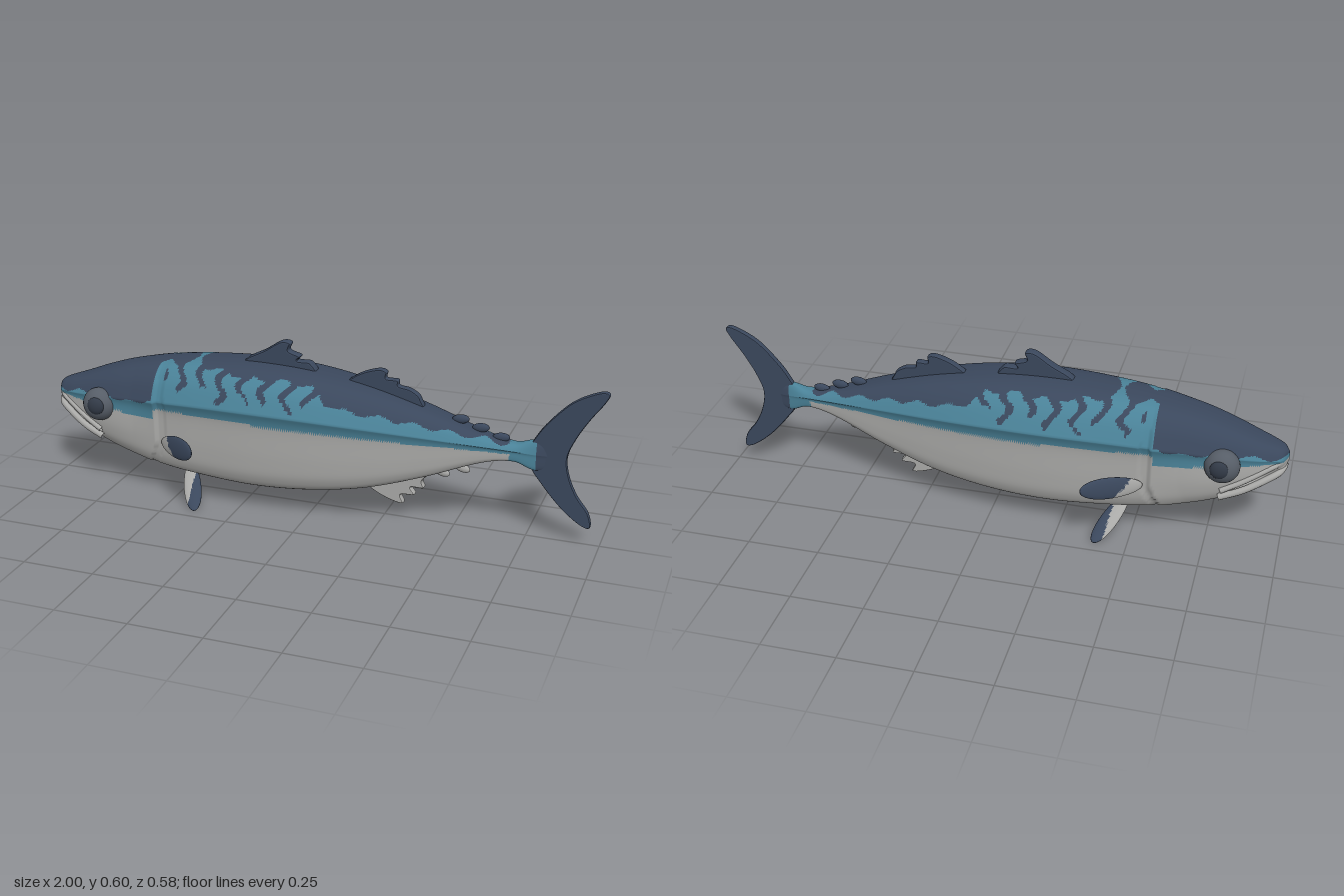
import * as THREE from 'three';

const mat = (name, color) => Object.assign(new THREE.MeshStandardMaterial({ color }), { name });

// Stations along the body: x, back height, belly height, half width, side ridge height
const STATIONS = [
  [-1, 0.345, 0.31, 0.0, 0.33], [-0.985, 0.36, 0.275, 0.042, 0.33], [-0.95, 0.375, 0.24, 0.065, 0.335],
  [-0.9, 0.393, 0.208, 0.085, 0.34], [-0.8, 0.432, 0.165, 0.112, 0.35], [-0.7, 0.463, 0.132, 0.133, 0.36],
  [-0.55, 0.494, 0.1, 0.154, 0.372], [-0.4, 0.511, 0.085, 0.172, 0.382], [-0.2, 0.52, 0.077, 0.185, 0.388],
  [0, 0.51, 0.088, 0.176, 0.384], [0.2, 0.477, 0.12, 0.146, 0.37], [0.4, 0.423, 0.183, 0.102, 0.35],
  [0.6, 0.358, 0.262, 0.056, 0.328], [0.7, 0.34, 0.276, 0.035, 0.318], [0.77, 0.358, 0.25, 0.02, 0.31],
  [0.84, 0.34, 0.27, 0.004, 0.305],
];

// Smooth interpolation of a table column at x
function sample(table, col, x) {
  const n = table.length;
  let k = 0;
  while (k < n - 2 && x > table[k + 1][0]) k++;
  const slope = (i) => {
    const a = table[Math.max(i - 1, 0)], b = table[Math.min(i + 1, n - 1)];
    return (b[col] - a[col]) / (b[0] - a[0]);
  };
  const p = table[k], q = table[k + 1], h = q[0] - p[0];
  const t = THREE.MathUtils.clamp((x - p[0]) / h, 0, 1), t2 = t * t, t3 = t2 * t;
  return (2 * t3 - 3 * t2 + 1) * p[col] + (t3 - 2 * t2 + t) * h * slope(k)
    + (3 * t2 - 2 * t3) * q[col] + (t3 - t2) * h * slope(k + 1);
}

// Sort the triangles of an indexed geometry into material groups by their centre
function paint(geo, count, rule) {
  const p = geo.attributes.position, idx = geo.index.array;
  const lists = Array.from({ length: count }, () => []);
  for (let i = 0; i < idx.length; i += 3) {
    const [a, b, c] = [idx[i], idx[i + 1], idx[i + 2]];
    const mid = (f) => (p[f](a) + p[f](b) + p[f](c)) / 3;
    lists[rule(mid('getX'), mid('getY'), mid('getZ'))].push(a, b, c);
  }
  geo.setIndex(lists.flat());
  geo.clearGroups();
  let start = 0;
  lists.forEach((l, i) => { geo.addGroup(start, l.length, i); start += l.length; });
  return geo;
}

// Half cross-section as fractions: back to side ridge, then ridge to belly
const v2 = (pts) => pts.map(([x, y]) => new THREE.Vector2(x, y));
const UPPER = new THREE.SplineCurve(v2([[0, 0], [0.3, 0.03], [0.55, 0.15], [0.8, 0.48], [1, 1]]));
const LOWER = new THREE.SplineCurve(v2([[1, 0], [0.91, 0.16], [0.88, 0.55], [0.82, 0.8], [0.62, 0.94], [0, 1]]));
const gillX = (y) => -0.55 - 1.6 * Math.max(0, 0.25 - y) ** 1.7 - 0.5 * Math.max(0, y - 0.32) ** 2;
const mouthY = (x) => 0.205 + 0.5 * (-0.79 - x);

function bodyGeometry() {
  const COLS = 260, HALF = 56, RING = HALF * 2, pos = [], idx = [];
  for (let i = 0; i <= COLS; i++) {
    const x = -1 + 1.84 * (i / COLS) ** 1.05;
    const [top, bottom, width, ridge] = [1, 2, 3, 4].map((c) => sample(STATIONS, c, x));
    const headness = THREE.MathUtils.smoothstep(-x, 0.5, 0.75);
    for (let j = 0; j < RING; j++) {
      const side = j <= HALF ? 1 : -1;
      const t = (j <= HALF ? j : RING - j) / HALF;
      const up = t <= 0.5;
      const s = up ? UPPER.getPoint(t * 2) : LOWER.getPoint(t * 2 - 1);
      const y = up ? top + (ridge - top) * s.y : ridge + (bottom - ridge) * s.y;
      let z = s.x * width;
      // Rounder cheeks on the head
      if (!up) z += headness * width * 0.08 * Math.sin(Math.PI * Math.min(1, s.y * 1.1));
      // Raised gill cover that drops off at its rear edge
      const d = gillX(y) - x;
      if (d > 0 && d < 0.1) z *= 1 + 0.05 * (1 - d / 0.1);
      else if (d <= 0 && d > -0.03) z *= 0.97;
      // Mouth groove
      if (x < -0.79) z *= 1 - 0.2 * Math.exp(-(((y - mouthY(x)) / 0.01) ** 2));
      pos.push(x, y, z * side);
    }
  }
  for (let i = 0; i < COLS; i++) for (let j = 0; j < RING; j++) {
    const a = i * RING + j, c = i * RING + (j + 1) % RING, b = a + RING, d = c + RING;
    idx.push(a, c, b, b, c, d);
  }
  const geo = new THREE.BufferGeometry();
  geo.setAttribute('position', new THREE.Float32BufferAttribute(pos, 3));
  geo.setIndex(idx);
  geo.computeVertexNormals();
  return geo;
}

// Upper and lower limits of the teal flank along the body
const FLANK = [
  [-1, 0.335, 0.325], [-0.8, 0.36, 0.315], [-0.58, 0.377, 0.31], [-0.55, 0.485, 0.34], [-0.2, 0.492, 0.342],
  [0.02, 0.482, 0.336], [0.08, 0.438, 0.334], [0.3, 0.402, 0.326], [0.5, 0.368, 0.316], [0.66, 0.34, 0.308],
];
function bodyColour(x, y, z) {
  if (x > 0.775) return 0;
  if (x > 0.69 - Math.abs(y - 0.31) * 0.3) return 1;
  const headEnd = -0.565;
  const fx = x < headEnd ? Math.min(x, -0.58) : Math.max(x, -0.55);
  if (y < sample(FLANK, 2, fx)) return 2;
  if (y > sample(FLANK, 1, fx) + 0.006 * Math.sin(x * 55)) return 0;
  // Wavy dark bars hanging from the back
  if (x > -0.53 && x < 0.07) {
    const foot = 0.425 + 0.025 * Math.sin(x * 47 + (z > 0 ? 0 : 1));
    const bar = Math.sin(x * 78 + 1.3 * Math.sin(y * 75 + x * 9));
    if (y > foot && bar > 0.5) return 0;
  }
  return 1;
}

// Thin bevelled fin standing on the centre plane
function finGeometry(points, depth, bevel, smooth = true) {
  const shape = new THREE.Shape();
  shape.moveTo(...points[0]);
  if (smooth) shape.splineThru(v2(points.slice(1)));
  else points.slice(1).forEach((p) => shape.lineTo(...p));
  const geo = new THREE.ExtrudeGeometry(shape, {
    depth, bevelEnabled: true, bevelThickness: bevel, bevelSize: bevel * 0.6,
    bevelOffset: -bevel * 0.6, bevelSegments: 3, curveSegments: 48,
  });
  return geo.translate(0, 0, -depth / 2);
}

// Paddle fin from root to tip: a flattened ellipsoid, pale near its root
function paddle(root, tip, across, width, thick, pale) {
  const a = new THREE.Vector3(...root), b = new THREE.Vector3(...tip);
  const along = b.clone().sub(a), len = along.length();
  along.normalize();
  const w = new THREE.Vector3(...across);
  w.addScaledVector(along, -w.dot(along)).normalize();
  const geo = new THREE.SphereGeometry(1, 32, 24);
  const p = geo.attributes.position;
  for (let i = 0; i < p.count; i++) p.setY(i, p.getY(i) * (1 + 0.12 * p.getX(i)));
  paint(geo, 2, pale);
  const basis = new THREE.Matrix4().makeBasis(along, w, along.clone().cross(w));
  basis.setPosition(a.add(b).multiplyScalar(0.5));
  return geo.scale(len / 2, width / 2, thick / 2).applyMatrix4(basis);
}

export function createModel() {
  const navy = mat('navy back', 0x3a475c), teal = mat('teal flank', 0x4a8298), silver = mat('silver belly', 0xa9a9a7);
  const slate = mat('slate eye', 0x565d67), pupil = mat('dark pupil', 0x323a47);
  const model = new THREE.Group();
  model.name = 'fish';
  const add = (name, geo, material) => {
    const mesh = new THREE.Mesh(geo, material);
    mesh.name = name;
    model.add(mesh);
    return mesh;
  };

  add('body', paint(bodyGeometry(), 3, bodyColour), [navy, teal, silver]);

  // Tail fin
  add('tailFin', finGeometry([[0.755, 0.35], [0.8, 0.42], [0.88, 0.505], [0.965, 0.55], [0.998, 0.547], [0.985, 0.515],
    [0.94, 0.45], [0.9, 0.38], [0.875, 0.31], [0.885, 0.24], [0.915, 0.175], [0.955, 0.12], [0.965, 0.07],
    [0.93, 0.075], [0.86, 0.13], [0.79, 0.21], [0.755, 0.265], [0.755, 0.35]], 0.008, 0.007), navy);

  // Ragged fins on the back and under the belly
  add('frontDorsalFin', finGeometry([[-0.28, 0.5], [-0.25, 0.53], [-0.19, 0.562], [-0.13, 0.6], [-0.095, 0.598],
    [-0.1, 0.57], [-0.06, 0.555], [-0.068, 0.538], [-0.02, 0.535], [-0.02, 0.49], [-0.28, 0.5]], 0.016, 0.011), navy);
  add('rearDorsalFin', finGeometry([[0.1, 0.48], [0.16, 0.52], [0.22, 0.541], [0.25, 0.535], [0.25, 0.512],
    [0.29, 0.51], [0.295, 0.49], [0.335, 0.482], [0.37, 0.455], [0.36, 0.41], [0.1, 0.48]], 0.012, 0.009), navy);
  add('analFin', finGeometry([[0.15, 0.14], [0.21, 0.095], [0.27, 0.068], [0.318, 0.06], [0.31, 0.092], [0.358, 0.098],
    [0.345, 0.125], [0.39, 0.128], [0.385, 0.155], [0.41, 0.21], [0.15, 0.14]], 0.012, 0.009), silver);

  // Small finlets ahead of the tail
  for (const [x, y, under] of [[0.51, 0.397, 0], [0.58, 0.375, 0], [0.65, 0.35, 0], [0.45, 0.197, 1], [0.52, 0.222, 1]]) {
    const finlet = add(under ? 'lowerFinlet' : 'upperFinlet', new THREE.SphereGeometry(1, 16, 12), under ? silver : navy);
    finlet.scale.set(0.03, 0.016, 0.012);
    finlet.position.set(x, y, 0);
    finlet.rotation.z = under ? -0.35 : 0.1;
  }

  // Lips around the mouth
  const lip = (name, pts, r) => {
    const all = [...pts, ...pts.slice(0, -1).reverse().map(([x, y, z]) => [x, y, -z])];
    const curve = new THREE.CatmullRomCurve3(all.map((p) => new THREE.Vector3(...p)));
    add(name, new THREE.TubeGeometry(curve, 64, r, 10), silver);
  };
  lip('lowerLip', [[-0.785, 0.195, 0.106], [-0.86, 0.222, 0.09], [-0.93, 0.258, 0.066], [-0.975, 0.283, 0.04], [-0.987, 0.292, 0]], 0.012);
  lip('upperLip', [[-0.79, 0.222, 0.109], [-0.86, 0.258, 0.092], [-0.93, 0.298, 0.068], [-0.968, 0.318, 0.045], [-0.98, 0.325, 0]], 0.01);

  // Paired eyes and fins
  for (const s of [1, -1]) {
    const side = s > 0 ? 'left' : 'right';
    const eye = add(side + 'Eye', new THREE.SphereGeometry(0.06, 32, 24), slate);
    eye.position.set(-0.79, 0.322, s * 0.112);
    eye.scale.z = 0.8;
    const dot = add(side + 'Pupil', new THREE.SphereGeometry(0.032, 24, 16), pupil);
    dot.position.set(-0.785, 0.327, s * 0.149);
    dot.scale.z = 0.55;
    add(side + 'PectoralFin', paddle([-0.535, 0.222, s * 0.14], [-0.35, 0.262, s * 0.29], [0.1, 1, s * -0.1], 0.076, 0.022,
      (x, y) => (x < -0.35 - 0.3 * y ? 1 : 0)), [navy, silver]);
    add(side + 'PelvicFin', paddle([-0.475, 0.115, s * 0.035], [-0.385, 0.006, s * 0.208], [1, 0.2, s * -0.4], 0.062, 0.022,
      (x, y) => (x < 0.1 - 0.9 * y ? 1 : 0)), [navy, silver]);
  }
  return model;
}
